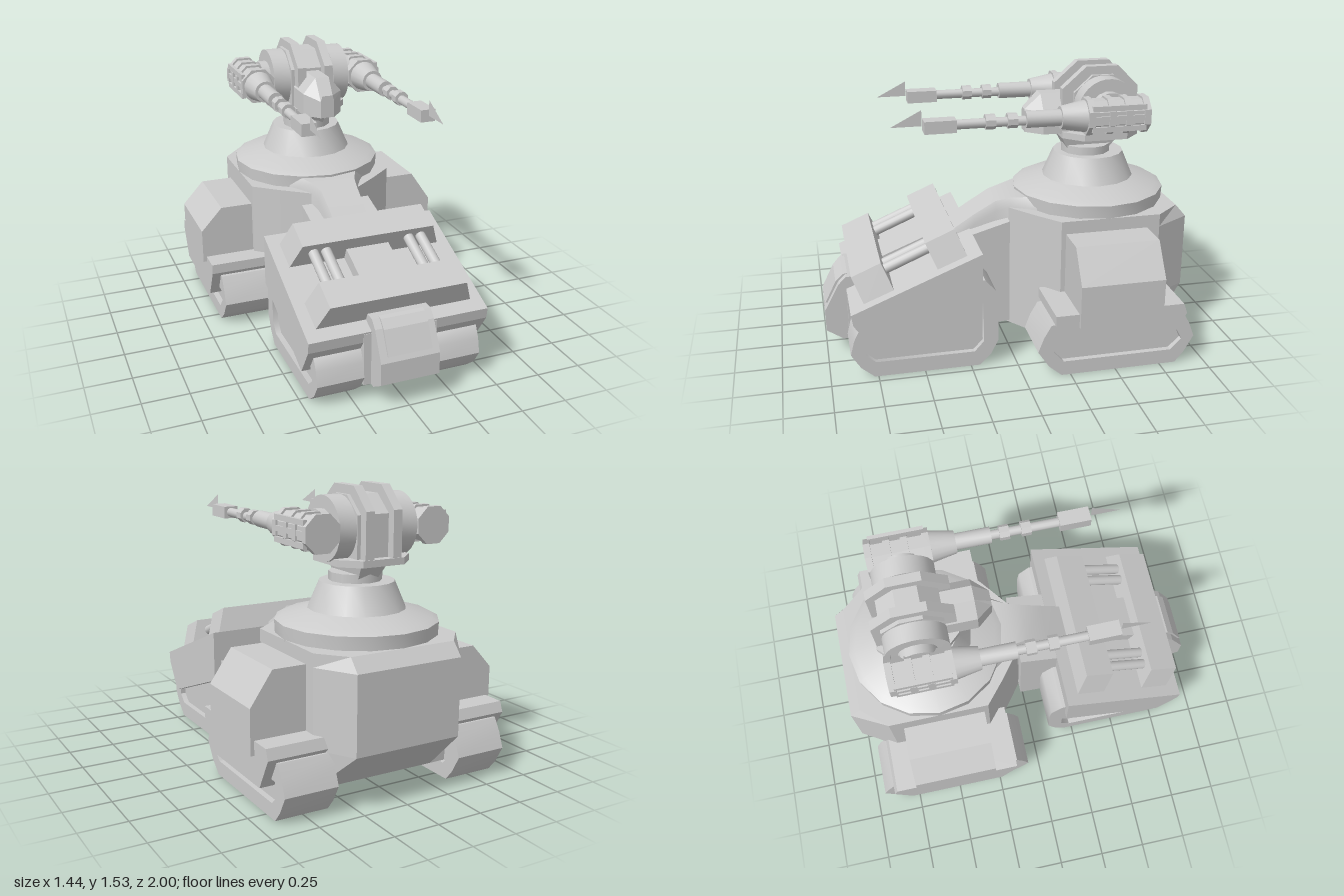
import * as THREE from 'three';
import { toCreasedNormals } from 'three/addons/utils/BufferGeometryUtils.js';

const mat = new THREE.MeshStandardMaterial({ color: 0xcccccc, side: THREE.DoubleSide });

export function createModel() {
  const model = new THREE.Group();

  function add(name, geo, parent = model) {
    const mesh = new THREE.Mesh(geo, mat);
    mesh.name = name;
    parent.add(mesh);
    return mesh;
  }

  const path = (pts, Type) => new Type(pts.map(p => new THREE.Vector2(p[0], p[1])));

  // Side profile of [z, y] points, extruded from x0 to x1
  function slab(profile, x0, x1, hole) {
    const shape = path(profile, THREE.Shape);
    if (hole) shape.holes.push(path(hole, THREE.Path));
    const geo = new THREE.ExtrudeGeometry(shape, { depth: Math.abs(x1 - x0), bevelEnabled: false });
    return geo.rotateY(-Math.PI / 2).translate(Math.max(x0, x1), 0, 0);
  }

  // Closed solid through equal-length rings of [x, y, z]; faces turned outward
  function loft(rings) {
    const n = rings[0].length, tris = [];
    for (let r = 0; r < rings.length - 1; r++) {
      for (let i = 0; i < n; i++) {
        const j = (i + 1) % n, A = rings[r], B = rings[r + 1];
        tris.push([A[i], A[j], B[j]], [A[i], B[j], B[i]]);
      }
    }
    const last = rings[rings.length - 1];
    for (let i = 1; i < n - 1; i++) {
      tris.push([rings[0][0], rings[0][i + 1], rings[0][i]], [last[0], last[i], last[i + 1]]);
    }
    const V = p => new THREE.Vector3(...p);
    const volume = tris.reduce((s, t) => s + V(t[0]).dot(V(t[1]).cross(V(t[2]))), 0);
    if (volume < 0) tris.forEach(t => t.reverse());
    const geo = new THREE.BufferGeometry();
    geo.setAttribute('position', new THREE.Float32BufferAttribute(tris.flat(2), 3));
    geo.computeVertexNormals();
    return geo;
  }

  const box = (w, h, d, x, y, z) => new THREE.BoxGeometry(w, h, d).translate(x, y, z);
  const mirror = pts => [...pts, ...pts.slice().reverse().map(([x, ...rest]) => [-x, ...rest])];

  // Cylinder lying along z, from z0 (radius r0) to z1 (radius r1)
  function rod(r0, r1, z0, z1, x, y, sides = 16) {
    return toCreasedNormals(new THREE.CylinderGeometry(r1, r0, z1 - z0, sides)
      .rotateY(Math.PI / sides).rotateX(Math.PI / 2).translate(x, y, (z0 + z1) / 2), 0.6);
  }

  // Cylinder lying along x
  function drum(r, x0, x1, y, z, sides) {
    return toCreasedNormals(new THREE.CylinderGeometry(r, r, Math.abs(x1 - x0), sides)
      .rotateY(Math.PI / sides).rotateZ(Math.PI / 2).translate((x0 + x1) / 2, y, z), 0.6);
  }

  // Front hull: wide wedge, belly, nose and neck
  add('frontHull', slab([[.88, .39], [.19, .667], [.19, .39], [.77, .175], [.87, .33]], -.49, .49));
  add('frontBelly', slab([[.88, .38], [.19, .66], [-.02, .72], [-.02, .12], [.2, .1], [.88, .09]], -.2, .2));
  add('nose', slab([[.8, .46], [.88, .46], [.92, .42], [1, .27], [1, .15], [.91, .09], [.8, .09]], -.16, .16));
  add('nosePanel', slab([[.87, .465], [.895, .46], [.935, .42], [.995, .3], [.96, .29]], -.12, .12));
  const neckSection = ([z, y, w]) => mirror([[w, .5, z], [w, y - .05, z], [w * .85, y, z]]);
  add('neck', toCreasedNormals(loft([
    [.3, .65, .12], [.16, .74, .12], [.04, .81, .125], [-.04, .83, .145], [-.12, .84, .19], [-.22, .84, .26],
  ].map(neckSection)), 0.6));

  // Sloped cross bars with tapered ends
  const barRing = (w, d, y) => [[w, y, d], [w, y, -d], [-w, y, -d], [-w, y, d]];
  for (const [y, z] of [[.67, .365], [.515, .755]]) {
    const bar = add('crossBar', loft([barRing(.43, .085, -.08), barRing(.37, .085, .075)]));
    bar.position.set(0, y, z);
    bar.rotation.x = .4;
  }
  const deck = add('deckPanel', new THREE.BoxGeometry(.24, .08, .3));
  deck.position.set(0, .55, .56);
  deck.rotation.x = .38;
  for (const x of [-.305, -.235, .235, .305]) {
    const pipe = add('deckPipe', new THREE.CylinderGeometry(.028, .028, .34, 12));
    pipe.position.set(x, .605, .56);
    pipe.rotation.x = Math.PI / 2 + .4;
  }

  // Rear hull: faceted plan with a chamfered tail
  const hullRing = (y, tail) => mirror([
    [.12, y, -.01], [.29, y, -.14], [.42, y, -.25], [.42, y, Math.max(tail, -.8)], [.3, y, tail],
  ]);
  add('rearHull', loft([hullRing(.08, -.78), hullRing(.3, -1), hullRing(.71, -1), hullRing(.78, -.94)]));

  // Tracks: belt loop around a recessed core
  const frontTrack = [[.2, 0], [.77, 0], [.84, .06], [.89, .14], [.87, .22], [.84, .28], [.3, .5],
    [.17, .5], [.11, .43], [.1, .36], [.1, .14], [.14, .06]];
  const frontInner = [[.23, .085], [.76, .085], [.81, .13], [.81, .18], [.77, .22], [.3, .42], [.2, .42], [.18, .37], [.18, .14]];
  const rearTrack = [[-.84, 0], [-.2, 0], [-.13, .06], [-.07, .15], [-.1, .23], [-.14, .3],
    [-.87, .3], [-.91, .23], [-.94, .15], [-.89, .06]];
  const rearInner = [[-.81, .08], [-.21, .08], [-.155, .14], [-.17, .2], [-.84, .2], [-.87, .14]];
  const guard = [[-.15, .375], [-.85, .375], [-.87, .32], [-.78, .155], [-.24, .155], [-.15, .32]];

  for (const s of [-1, 1]) {
    for (const [name, outer, inner, x0, x1] of [
      ['frontTrack', frontTrack, frontInner, .2, .45],
      ['rearTrack', rearTrack, rearInner, .36, .65],
    ]) {
      add(name, toCreasedNormals(slab(outer, s * x0, s * x1, inner), 0.75));
      add(name + 'Core', slab(inner, s * (x0 + .03), s * (x1 - .03)));
    }
    add('trackGuard', slab(guard, s * .34, s * .7));

    // Side boxes with a sloped outer shoulder, slightly taller on the left
    const [top, bottom] = s > 0 ? [.71, .3] : [.665, .345];
    const pod = path([[.3, bottom], [.72, bottom], [.72, .535], [.6, top], [.3, top]]
      .map(([x, y]) => [s * x, y]), THREE.Shape);
    add('sideBox', new THREE.ExtrudeGeometry(pod, { depth: .455, bevelEnabled: false }).translate(0, 0, -.73));
  }

  // Turret base
  const ring = [[0, .76], [.42, .76], [.425, .85], [.39, .868], [.255, .905], [.195, 1.045], [0, 1.045]];
  add('turretBase', toCreasedNormals(new THREE.LatheGeometry(
    ring.map(p => new THREE.Vector2(...p)), 16).translate(0, 0, -.515), 0.45));
  add('turretCollar', new THREE.CylinderGeometry(.138, .138, .05, 12).translate(0, 1.065, -.5));
  const stemRing = (w, y, z0, z1) => [[w, y, z0], [w, y, z1], [-w, y, z1], [-w, y, z0]];
  add('turretStem', loft([stemRing(.055, 1.05, -.39, -.61), stemRing(.085, 1.18, -.32, -.7)]));
  add('headPlate', loft([1.15, 1.185].map(y =>
    mirror([[.12, y, -.33], [.21, y, -.43], [.21, y, -.67], [.12, y, -.76]]))));

  // Head: core, raised fins and side drums
  add('headCore', slab([[-.49, 1.49], [-.61, 1.49], [-.71, 1.4], [-.71, 1.17], [-.39, 1.17], [-.39, 1.4]], -.125, .125));
  const fin = [[-.46, 1.535], [-.64, 1.535], [-.755, 1.42], [-.755, 1.18], [-.33, 1.18], [-.33, 1.42]];
  for (const s of [-1, 1]) {
    add('headFin', slab(fin, s * .055, s * .105));
    add('shoulderDrum', drum(.165, s * .13, s * .225, 1.325, -.55, 28));
    add('shoulderAxle', drum(.1, s * .1, s * .27, 1.325, -.55, 16));
  }

  // Forward sensor housing with a bevelled face
  const sensorRing = (w, side, peak, cap, z) =>
    mirror([[w, 1.175, z], [w, side, z], [cap, peak, z]]);
  add('sensorHousing', loft([
    sensorRing(.112, 1.3, 1.385, .04, -.47), sensorRing(.112, 1.3, 1.385, .04, -.225),
    sensorRing(.04, 1.27, 1.3, .03, -.14),
  ]));

  // Guns
  for (const s of [-1, 1]) {
    const gun = new THREE.Group();
    gun.name = 'gun';
    const x = s * .322, y = 1.325;
    add('gunPod', rod(.09, .09, -.71, -.39, x, y, 8), gun);
    for (const z of [-.72, -.62, -.53, -.42]) {
      add('podBand', rod(.102, .102, z, z + .035, x, y, 8), gun);
    }
    for (const dy of [-.055, 0, .055]) {
      add('podRib', box(.02, .028, .29, x + s * .083, y + dy, -.55), gun);
    }
    add('barrelCone', rod(.085, .06, -.39, -.255, x, y), gun);
    add('barrelSleeve', rod(.044, .044, -.26, -.07, x, y), gun);
    add('barrel', rod(.025, .025, -.07, .3, x, y - .005, 12), gun);
    for (const z of [-.025, .09]) add('barrelCollar', rod(.04, .04, z, z + .052, x, y, 8), gun);
    add('muzzleBlock', box(.08, .065, .165, x, y - .005, .375), gun);
    // Thin sight blade
    add('muzzleBlade', new THREE.ShapeGeometry(path([[.465, 1.322], [.625, 1.322], [.465, 1.405]], THREE.Shape))
      .rotateY(-Math.PI / 2).translate(x, 0, 0), gun);
    model.add(gun);
  }

  return model;
}
